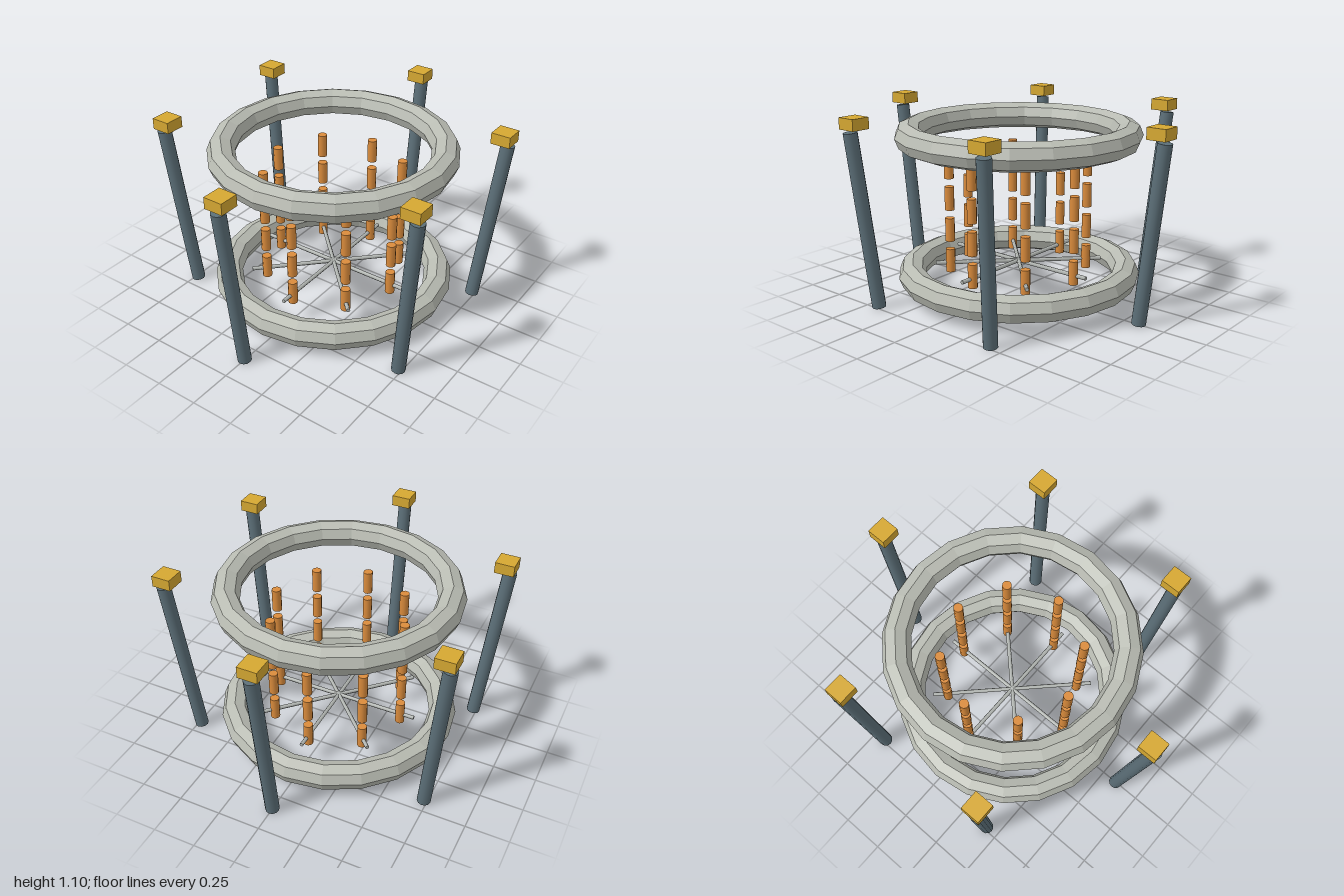
import * as THREE from 'three';

const paint = (color, flatShading = false) => new THREE.MeshStandardMaterial({ color, flatShading });

export function createModel() {
  const model = new THREE.Group();
  const stone = paint(0xb9bcb3, true);
  const slate = paint(0x5c6f78);
  const gold = paint(0xd6a832);
  const amber = paint(0xdb8c3c);
  const steel = paint(0xb4b8b4);

  const add = (name, geometry, material, x, y, z, parent = model) => {
    const mesh = new THREE.Mesh(geometry, material);
    mesh.name = name;
    mesh.position.set(x, y, z);
    parent.add(mesh);
    return mesh;
  };

  // Two faceted rings, one above the other
  const ringGeo = new THREE.TorusGeometry(0.63, 0.08, 8, 20).rotateX(Math.PI / 2);
  add('lowerRing', ringGeo, stone, 0, 0.125, 0);
  add('upperRing', ringGeo, stone, 0, 0.945, 0);

  // Six posts leaning outward, each with a square cap hovering above it
  const lean = 0.113;
  const postGeo = new THREE.CylinderGeometry(0.04, 0.04, 1.016, 12).rotateZ(-lean);
  const capGeo = new THREE.BoxGeometry(0.112, 0.065, 0.112);
  for (let i = 0; i < 6; i++) {
    const a = (i * Math.PI) / 3;
    const c = Math.cos(a), s = Math.sin(a);
    add('post', postGeo, slate, 0.9 * c, 0.509, 0.9 * s).rotation.y = -a;
    add('postCap', capGeo, gold, 0.935 * c, 1.063, 0.935 * s);
  }

  // Four thin rods crossing at the centre of the lower ring
  const rodGeo = new THREE.CylinderGeometry(0.012, 0.012, 0.98, 6).rotateZ(Math.PI / 2);
  for (let i = 0; i < 4; i++) {
    add('crossRod', rodGeo, steel, 0, 0.18, 0).rotation.y = (i * Math.PI) / 4;
  }

  // Eight columns of four floating cylinders
  const cellGeo = new THREE.CylinderGeometry(0.028, 0.028, 0.14, 10);
  for (let i = 0; i < 8; i++) {
    const a = (i * Math.PI) / 4;
    const column = new THREE.Group();
    column.name = 'cellColumn';
    column.position.set(0.402 * Math.cos(a), 0, 0.402 * Math.sin(a));
    for (let level = 0; level < 4; level++) {
      add('cell', cellGeo, amber, 0, 0.196 + level * 0.188, 0, column);
    }
    model.add(column);
  }

  return model;
}
